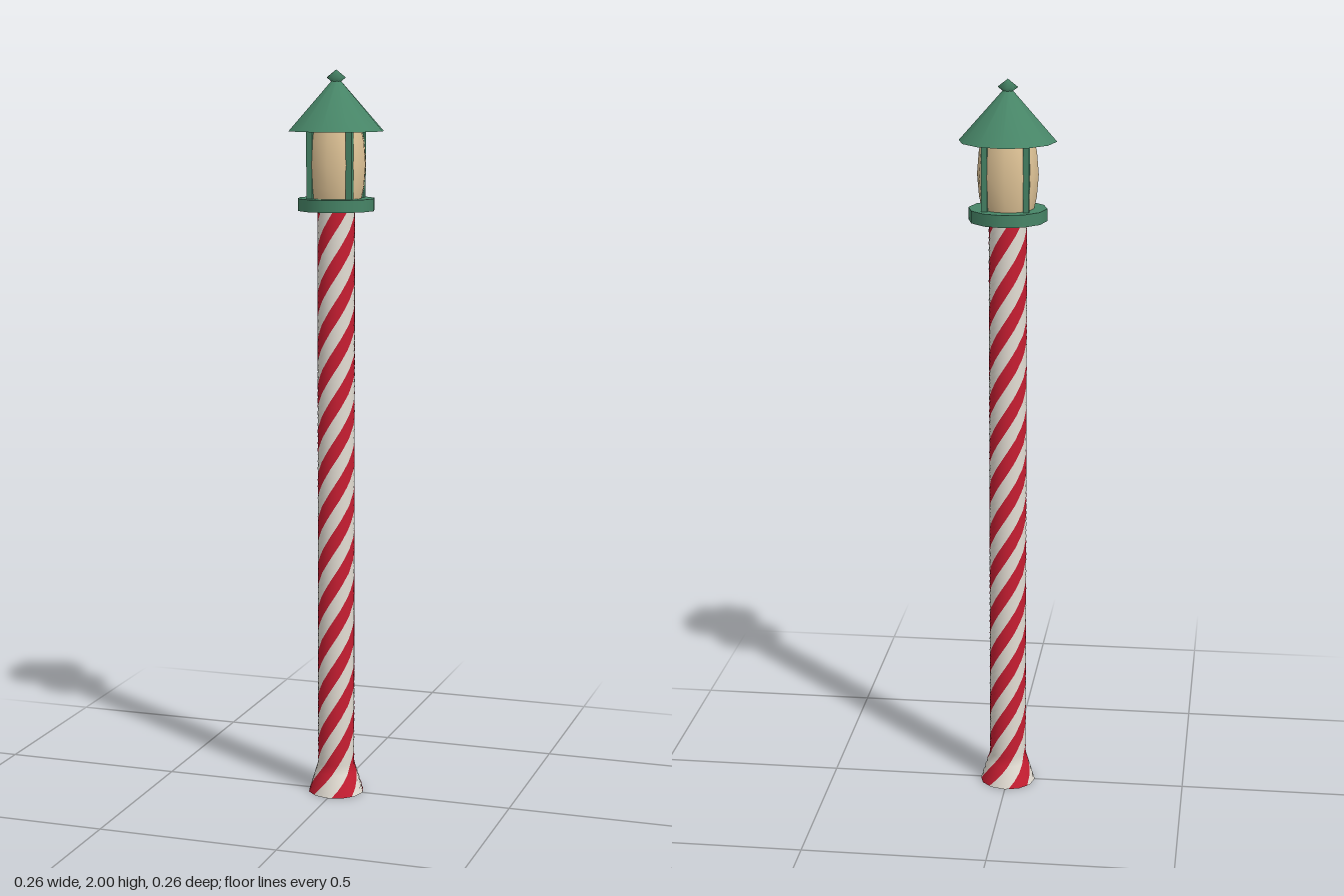
import * as THREE from 'three';

const mat = (name, color) => {
  const m = new THREE.MeshStandardMaterial({ color });
  m.name = name;
  return m;
};

const SIDES = 12, STARTS = 4, PITCH = 0.5, POLE_TOP = 1.63;
const FLARE_H = 0.085, POLE_R = 0.052, BASE_R = 0.078;

// Twelve-sided pole section that flares out at the foot
function poleRadius(theta, y) {
  const r = y < FLARE_H ? THREE.MathUtils.lerp(BASE_R, POLE_R, y / FLARE_H) : POLE_R;
  const step = (2 * Math.PI) / SIDES;
  const a = THREE.MathUtils.euclideanModulo(theta, step) - step / 2;
  return (r * Math.cos(step / 2)) / Math.cos(a);
}

// Helical band k of the pole; even bands are red, odd bands are white
function bandGeometry(k) {
  const width = Math.PI / STARTS, start = THREE.MathUtils.degToRad(8) + k * width;
  const cols = 6, pos = [], nor = [], idx = [];
  const heights = [0, 0.02, 0.04, 0.06, FLARE_H];
  const rows = 90;
  for (let i = 1; i <= rows; i++) heights.push(FLARE_H + ((POLE_TOP - FLARE_H) * i) / rows);
  heights.forEach((y, i) => {
    for (let j = 0; j <= cols; j++) {
      const t = start + (width * j) / cols + (y / PITCH) * 2 * Math.PI;
      const r = poleRadius(t, y), ny = y < FLARE_H ? 0.3 : 0;
      const n = new THREE.Vector3(Math.sin(t), ny, Math.cos(t)).normalize();
      pos.push(r * Math.sin(t), y, r * Math.cos(t));
      nor.push(n.x, n.y, n.z);
      if (i && j) {
        const d = i * (cols + 1) + j, c = d - 1, b = d - cols - 1, a = b - 1;
        idx.push(a, b, d, a, d, c);
      }
    }
  });
  // Wedge closing the underside
  const centre = pos.length / 3;
  pos.push(0, 0, 0);
  nor.push(0, -1, 0);
  for (let j = 0; j <= cols; j++) {
    pos.push(pos[j * 3], 0, pos[j * 3 + 2]);
    nor.push(0, -1, 0);
    if (j) idx.push(centre, centre + j + 1, centre + j);
  }
  const g = new THREE.BufferGeometry();
  g.setAttribute('position', new THREE.Float32BufferAttribute(pos, 3));
  g.setAttribute('normal', new THREE.Float32BufferAttribute(nor, 3));
  g.setIndex(idx);
  return g;
}

export function createModel() {
  const red = mat('red paint', 0xc81e32);
  const white = mat('off-white paint', 0xe4ded4);
  const green = mat('green metal', 0x478567);
  const glass = mat('warm glass', 0xe0c497);

  const model = new THREE.Group();
  model.name = 'stripedLampPost';
  const add = (name, geometry, material, y, parent = model) => {
    const m = new THREE.Mesh(geometry, material);
    m.name = name;
    m.position.y = y;
    parent.add(m);
    return m;
  };

  // Striped pole
  const pole = new THREE.Group();
  pole.name = 'pole';
  model.add(pole);
  for (let k = 0; k < STARTS * 2; k++) {
    add(k % 2 ? 'whiteStripe' : 'redStripe', bandGeometry(k), k % 2 ? white : red, 0, pole);
  }

  // Lantern floor
  add('lanternFloor', new THREE.CylinderGeometry(0.105, 0.105, 0.033, SIDES), green, 1.643);

  // Barrel-shaped glass
  const profile = [[0.069, 1.655], [0.077, 1.69], [0.082, 1.75], [0.077, 1.81], [0.069, 1.845]];
  add('lanternGlass', new THREE.LatheGeometry(profile.map(p => new THREE.Vector2(...p)), SIDES), glass, 0);

  // Corner posts
  for (let i = 0; i < 4; i++) {
    const a = Math.PI / 4 + (i * Math.PI) / 2;
    const post = add('lanternPost', new THREE.BoxGeometry(0.016, 0.19, 0.016), green, 1.75);
    post.position.x = 0.078 * Math.sin(a);
    post.position.z = 0.078 * Math.cos(a);
  }

  // Roof and finial
  add('roof', new THREE.CylinderGeometry(0.012, 0.13, 0.133, SIDES), green, 1.9045);
  const finial = add('finial', new THREE.SphereGeometry(0.027, 8, 2), green, 1.979);
  finial.scale.y = 0.021 / 0.027;

  return model;
}
